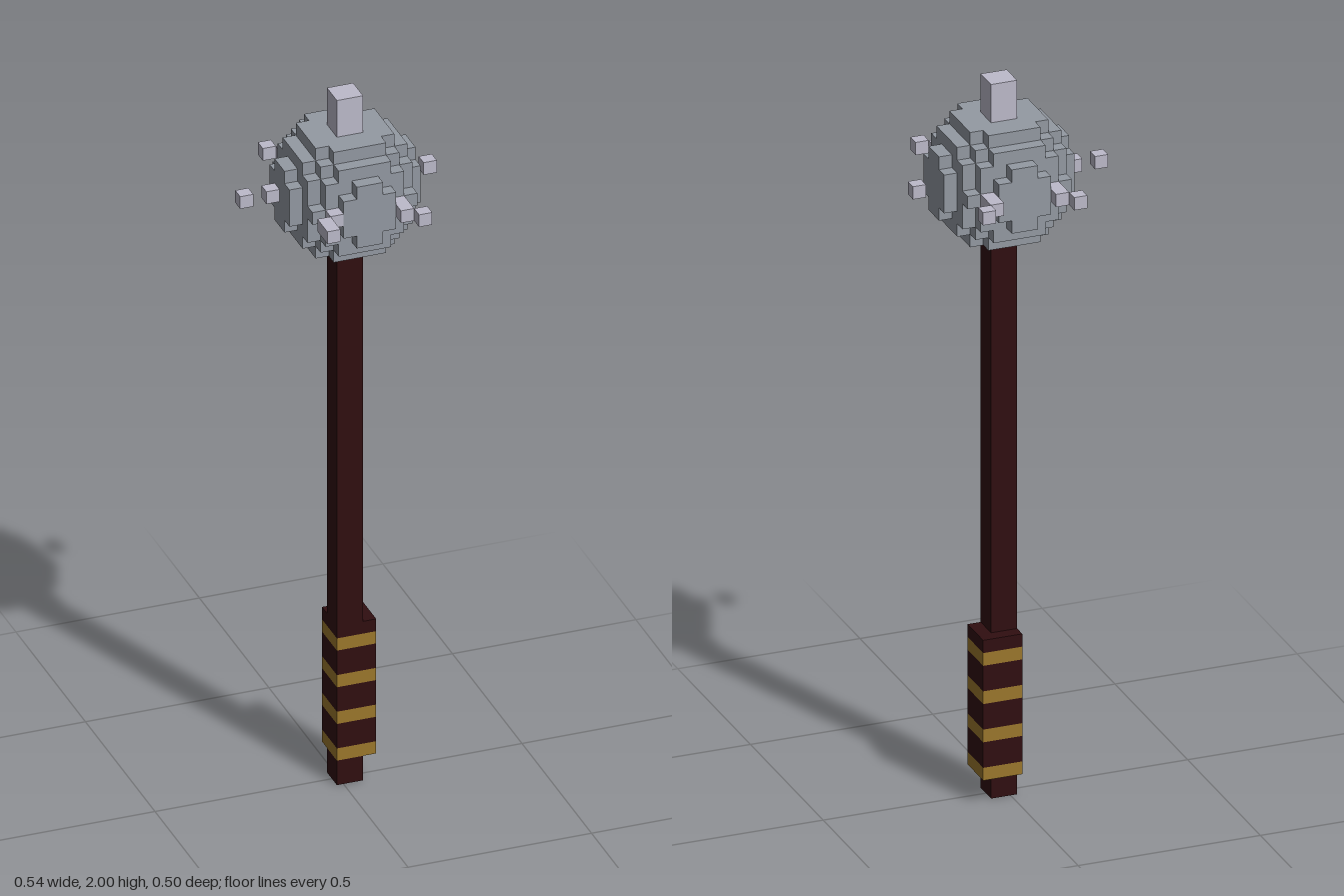
import * as THREE from 'three';
import { mergeGeometries } from 'three/addons/utils/BufferGeometryUtils.js';

const U = 2 / 56; // one voxel

const paint = (name, color) => {
  const m = new THREE.MeshStandardMaterial({ color });
  m.name = name;
  return m;
};

// Box between two corners, measured in voxels
function block(name, [x0, y0, z0], [x1, y1, z1], material) {
  const geo = new THREE.BoxGeometry((x1 - x0) * U, (y1 - y0) * U, (z1 - z0) * U);
  const mesh = new THREE.Mesh(geo, material);
  mesh.position.set((x0 + x1) / 2 * U, (y0 + y1) / 2 * U, (z0 + z1) / 2 * U);
  mesh.name = name;
  return mesh;
}

// Outer faces of a voxel ball, ten cells wide and deep, nine high
function voxelBall(radius) {
  const inside = (p) => p.lengthSq() <= radius * radius;
  const front = new THREE.Vector3(0, 0, 1);
  const directions = [[1, 0, 0], [-1, 0, 0], [0, 1, 0], [0, -1, 0], [0, 0, 1], [0, 0, -1]]
    .map((d) => new THREE.Vector3(...d));
  const faces = [];
  for (let x = -4.5; x < 5; x++) for (let y = -4; y < 5; y++) for (let z = -4.5; z < 5; z++) {
    const cell = new THREE.Vector3(x, y, z);
    if (!inside(cell)) continue;
    for (const d of directions) {
      if (inside(cell.clone().add(d))) continue;
      const centre = cell.clone().addScaledVector(d, 0.5);
      const turn = new THREE.Quaternion().setFromUnitVectors(front, d);
      faces.push(new THREE.PlaneGeometry(1, 1)
        .applyQuaternion(turn).translate(centre.x, centre.y, centre.z));
    }
  }
  return mergeGeometries(faces).scale(U, U, U);
}

export function createModel() {
  const wood = paint('dark wood', 0x300e10);
  const gold = paint('gold', 0x9c782c);
  const iron = paint('iron', 0x949aa3);
  const steel = paint('pale steel', 0xbdbbcb);
  const model = new THREE.Group();
  model.name = 'mace';

  // Shaft below and above the grip
  model.add(block('pommel', [-0.5, 0, -1], [1.5, 2, 1], wood));
  model.add(block('shaft', [-0.5, 13, -1], [1.5, 44, 1], wood));

  // Grip of gold bands and wood sections
  const grip = new THREE.Group();
  grip.name = 'grip';
  for (let y = 2; y < 13; y += 3) {
    grip.add(block('gripBand', [-0.5, y, -2], [2.5, y + 1, 1], gold));
    grip.add(block('gripWood', [-0.5, y + 1, -2], [2.5, Math.min(y + 3, 13), 1], wood));
  }
  model.add(grip);

  // Round head
  const head = new THREE.Mesh(voxelBall(5), iron);
  head.name = 'head';
  head.position.set(0.5 * U, 48.5 * U, 0);
  model.add(head);

  // Top spike, then side spikes as [x, z start, z end] in one layer
  model.add(block('topSpike', [-0.5, 53, -1], [1.5, 56, 1], steel));
  const spikes = [
    [-7.5, -1, 0], [-5.5, -1, 0], [6.5, -1, 0],
    [-3.5, -7, -6], [-2.5, -6, -4],
    [3.5, -7, -6], [2.5, -6, -4],
    [-3.5, 5, 7], [-2.5, 4, 5],
    [3.5, 6, 7], [2.5, 4, 6],
  ];
  for (const [x, z0, z1] of spikes) {
    model.add(block('sideSpike', [x, 48, z0], [x + 1, 49, z1], steel));
  }
  return model;
}
